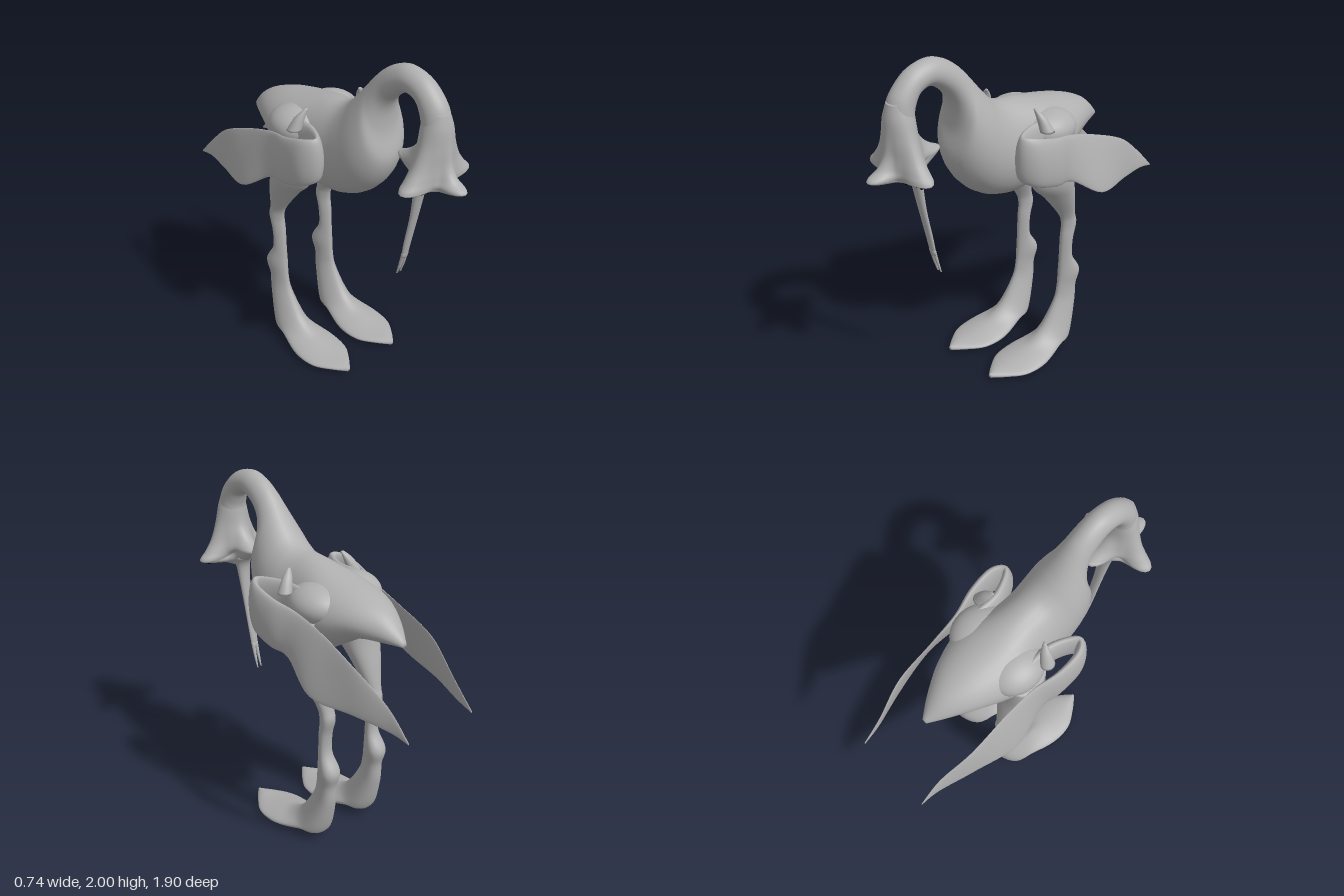
import * as THREE from 'three';

const SEG = 28;

// Resample rows of numbers with a Catmull-Rom spline
function smooth(rows, steps = 5) {
  const out = [];
  const at = i => rows[Math.max(0, Math.min(rows.length - 1, i))];
  for (let i = 0; i < rows.length - 1; i++) {
    for (let k = 0; k < steps; k++) {
      const t = k / steps;
      out.push(rows[i].map((p1, c) => {
        const p0 = at(i - 1)[c], p2 = at(i + 1)[c], p3 = at(i + 2)[c];
        return p1 + 0.5 * t * (p2 - p0 + t * (2 * p0 - 5 * p1 + 4 * p2 - p3 + t * (3 * (p1 - p2) + p3 - p0)));
      }));
    }
  }
  out.push(rows[rows.length - 1]);
  return out;
}

// Skin closed rings of Vector3 and cap both ends; faces are turned outward
function skin(rings) {
  const n = rings[0].length, pts = rings.flat(), idx = [];
  for (let i = 0; i < rings.length - 1; i++) {
    for (let j = 0; j < n; j++) {
      const a = i * n + j, b = i * n + (j + 1) % n;
      idx.push(a, b, a + n, b, b + n, a + n);
    }
  }
  [0, rings.length - 1].forEach((r, end) => {
    const centre = rings[r].reduce((s, p) => s.add(p), new THREE.Vector3()).divideScalar(n);
    const c = pts.push(centre) - 1;
    for (let j = 0; j < n; j++) {
      const a = r * n + j, b = r * n + (j + 1) % n;
      if (end) idx.push(a, b, c); else idx.push(b, a, c);
    }
  });
  let volume = 0;
  const cross = new THREE.Vector3();
  for (let i = 0; i < idx.length; i += 3) {
    volume += pts[idx[i]].dot(cross.crossVectors(pts[idx[i + 1]], pts[idx[i + 2]]));
  }
  if (volume < 0) idx.reverse();
  const g = new THREE.BufferGeometry().setFromPoints(pts);
  g.setIndex(idx);
  g.computeVertexNormals();
  return g;
}

const ring = f => Array.from({ length: SEG }, (_, j) => f(j / SEG * Math.PI * 2));

// Rows: front/top edge z, y, back/bottom edge z, y, half width, centre x
function limb(rows, side = 1, pinch = 0) {
  return skin(smooth(rows).map(([zt, yt, zb, yb, w, cx = 0]) => ring(a => {
    const c = Math.cos(a), s = Math.sin(a);
    return new THREE.Vector3(
      side * (cx + w * s * (1 - pinch * c)),
      (yt + yb) / 2 + (yt - yb) / 2 * c,
      (zt + zb) / 2 + (zt - zb) / 2 * c);
  })));
}

// Rows: y, centre z, front, back and side reach, notch, rear lift
function hood(rows) {
  return skin(smooth(rows, 6).map(([y, zc, f, b, s, notch, lift]) =>
    Array.from({ length: 64 }, (_, j) => {
      const a = j / 64 * Math.PI * 2, c = Math.cos(a), sn = Math.sin(a);
      let r = (c > 0 ? f : b) * c * c + s * sn * sn;
      r *= notch + (1 - notch) * Math.pow(Math.abs(Math.cos(2 * a)), 3);
      return new THREE.Vector3(r * sn, y + (c < 0 ? lift * c * c : 0), zc + r * c);
    })));
}

// Rows: top edge xyz, bottom edge xyz, half thickness
function wing(rows, side) {
  const rs = smooth(rows, 6);
  const mid = r => [(r[0] + r[3]) / 2, (r[2] + r[5]) / 2];
  return skin(rs.map((r, i) => {
    const p = mid(rs[Math.max(0, i - 1)]), q = mid(rs[Math.min(rs.length - 1, i + 1)]);
    const dx = q[0] - p[0], dz = q[1] - p[1], l = Math.hypot(dx, dz) || 1;
    return ring(a => {
      const c = Math.cos(a), t = r[6] * Math.sin(a);
      return new THREE.Vector3(
        side * ((r[0] + r[3]) / 2 + (r[0] - r[3]) / 2 * c + dz / l * t),
        (r[1] + r[4]) / 2 + (r[1] - r[4]) / 2 * c,
        (r[2] + r[5]) / 2 + (r[2] - r[5]) / 2 * c - dx / l * t);
    });
  }));
}

export function createModel() {
  const model = new THREE.Group();
  const skinMat = new THREE.MeshStandardMaterial({ color: 0xb0b0b0 });
  skinMat.name = 'grey skin';
  const eyeMat = new THREE.MeshStandardMaterial({ color: 0x0c0808 });
  eyeMat.name = 'black eye';
  const add = (name, geo, mat = skinMat) => {
    const m = new THREE.Mesh(geo, mat);
    m.name = name;
    model.add(m);
    return m;
  };

  // Tail, body and arched neck in one sweep
  add('bodyAndNeck', limb([
    [-0.67, 1.375, -0.67, 1.345, 0.015], [-0.55, 1.49, -0.58, 1.34, 0.085],
    [-0.4, 1.555, -0.42, 1.32, 0.17], [-0.2, 1.6, -0.25, 1.22, 0.23],
    [-0.02, 1.64, -0.08, 1.12, 0.2], [0.1, 1.655, 0.08, 1.1, 0.19],
    [0.17, 1.69, 0.25, 1.155, 0.19], [0.23, 1.75, 0.38, 1.27, 0.18],
    [0.28, 1.81, 0.445, 1.42, 0.15], [0.33, 1.87, 0.415, 1.58, 0.11],
    [0.39, 1.93, 0.42, 1.71, 0.085], [0.47, 1.98, 0.47, 1.8, 0.075],
    [0.56, 2, 0.56, 1.86, 0.07], [0.68, 1.965, 0.635, 1.84, 0.07],
    [0.78, 1.87, 0.665, 1.78, 0.075], [0.815, 1.78, 0.67, 1.74, 0.08],
  ], 1, 0.08));

  // Four-cornered hood of the head
  add('headHood', hood([
    [1.83, 0.735, 0.07, 0.06, 0.06, 1, 0], [1.75, 0.745, 0.08, 0.075, 0.085, 1, 0],
    [1.65, 0.75, 0.085, 0.1, 0.115, 0.9, 0], [1.56, 0.75, 0.1, 0.15, 0.155, 0.75, 0.02],
    [1.5, 0.75, 0.14, 0.21, 0.2, 0.6, 0.04], [1.465, 0.75, 0.2, 0.24, 0.235, 0.48, 0.06],
    [1.445, 0.75, 0.19, 0.23, 0.225, 0.47, 0.06], [1.425, 0.73, 0.09, 0.12, 0.1, 0.8, 0.02],
    [1.41, 0.7, 0.04, 0.06, 0.05, 1, 0],
  ]));

  // Long hanging beak with a forked tip
  add('beak', limb([
    [0.72, 1.46, 0.6, 1.46, 0.06], [0.69, 1.38, 0.63, 1.39, 0.042],
    [0.65, 1.2, 0.615, 1.2, 0.03], [0.605, 1, 0.578, 1, 0.026], [0.583, 0.89, 0.56, 0.89, 0.022],
  ]));

  for (const side of [1, -1]) {
    const label = side > 0 ? 'left' : 'right';
    add(label + 'BeakTip', limb([
      [0.588, 0.92, 0.565, 0.92, 0.012, 0.011], [0.565, 0.84, 0.548, 0.84, 0.009, 0.012],
      [0.54, 0.77, 0.53, 0.765, 0.004, 0.013],
    ], side));

    // Row of small eyes under the hood
    for (const [x, z] of [[0.085, 0.785], [0.115, 0.775], [0.145, 0.765], [0.175, 0.76]]) {
      const eye = add(label + 'Eye', new THREE.SphereGeometry(0.012, 12, 8), eyeMat);
      eye.position.set(side * x, 1.432, z);
    }

    // Shoulder mound and its small horn
    const shoulder = add(label + 'Shoulder', new THREE.SphereGeometry(1, 28, 18));
    shoulder.scale.set(0.15, 0.11, 0.17);
    shoulder.position.set(side * 0.13, 1.46, -0.15);
    add(label + 'ShoulderHorn', limb([
      [0.01, 1.51, -0.07, 1.51, 0.04, 0.25], [0.01, 1.58, -0.04, 1.58, 0.03, 0.22],
      [0.01, 1.625, 0, 1.63, 0.01, 0.19],
    ], side));

    // Folded wing: inner arm, front bend and trailing blade
    add(label + 'Wing', wing([
      [0.2, 1.55, -0.12, 0.18, 1.3, -0.1, 0.04], [0.2, 1.55, 0.04, 0.2, 1.33, 0.05, 0.035],
      [0.27, 1.55, 0.175, 0.26, 1.3, 0.18, 0.03], [0.325, 1.54, 0.12, 0.33, 1.26, 0.12, 0.035],
      [0.325, 1.5, -0.02, 0.34, 1.22, -0.02, 0.03], [0.29, 1.46, -0.17, 0.33, 1.2, -0.15, 0.02],
      [0.28, 1.4, -0.36, 0.37, 1.07, -0.36, 0.01], [0.28, 1.3, -0.6, 0.31, 1.05, -0.62, 0.01],
      [0.24, 1.15, -0.8, 0.25, 1.02, -0.83, 0.006], [0.235, 1.005, -0.945, 0.235, 0.995, -0.945, 0.003],
    ], side));

    // Leg running into a broad pointed foot
    add(label + 'Leg', limb([
      [0.02, 1.35, -0.25, 1.4, 0.1], [0, 1.16, -0.26, 1.2, 0.11],
      [-0.1, 1.05, -0.29, 1.05, 0.085], [-0.215, 0.9, -0.32, 0.9, 0.045],
      [-0.24, 0.82, -0.335, 0.83, 0.042], [-0.235, 0.73, -0.31, 0.73, 0.04],
      [-0.23, 0.6, -0.31, 0.61, 0.04], [-0.225, 0.5, -0.37, 0.5, 0.056],
      [-0.215, 0.4, -0.35, 0.4, 0.046], [-0.19, 0.31, -0.34, 0.27, 0.053],
      [-0.1, 0.17, -0.28, 0.07, 0.085], [0, 0.1, -0.2, 0.05, 0.1],
      [0.1, 0.075, -0.02, 0.01, 0.135], [0.2, 0.06, 0.14, 0.005, 0.125],
      [0.28, 0.055, 0.26, 0.012, 0.065], [0.34, 0.045, 0.335, 0.02, 0.01],
    ].map(r => [...r, 0.18]), side, 0.3));
  }
  return model;
}
